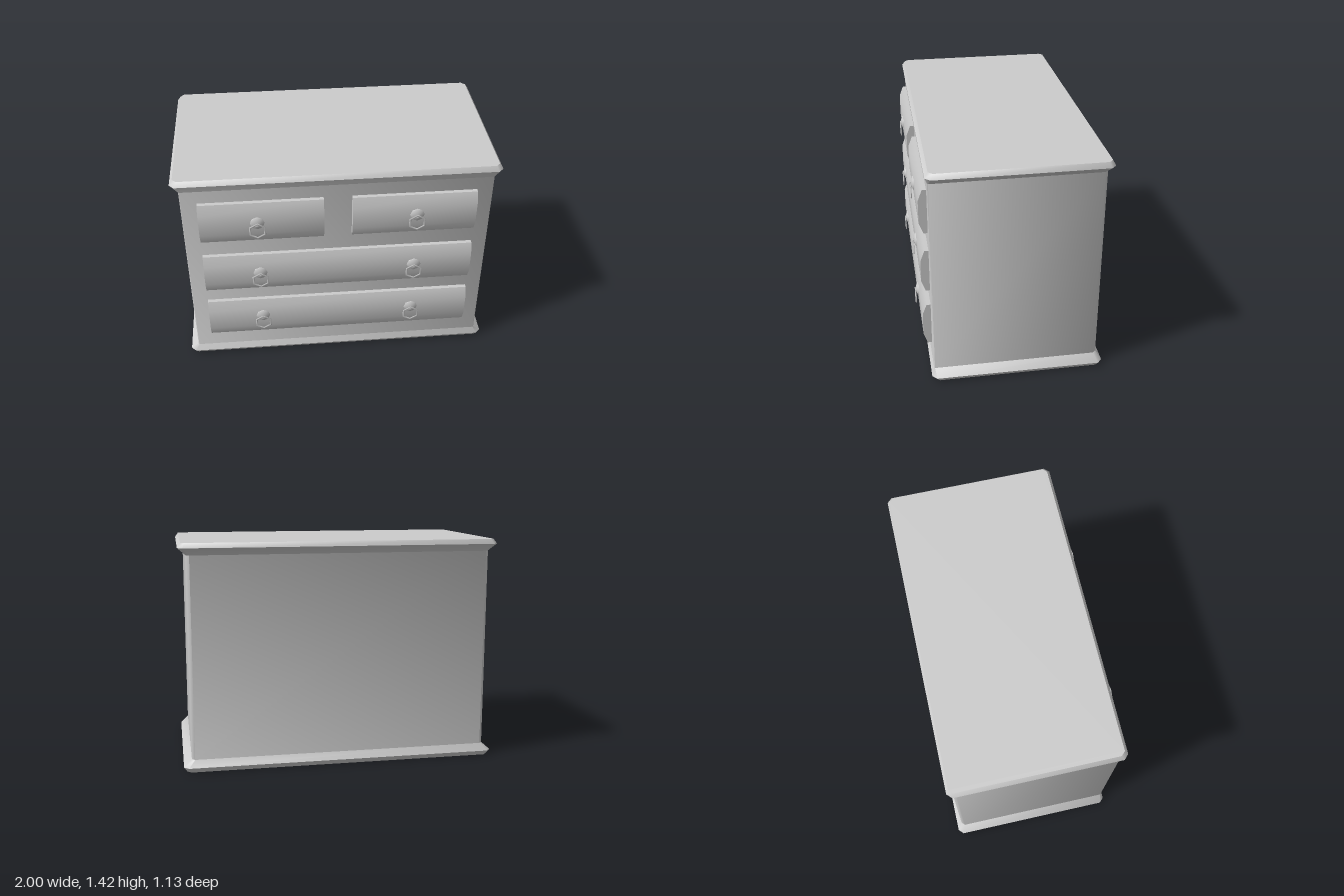
import * as THREE from 'three';
import { toCreasedNormals } from 'three/addons/utils/BufferGeometryUtils.js';

const mat = new THREE.MeshStandardMaterial({ color: 0xcccccc });

function mesh(name, geometry, x = 0, y = 0, z = 0) {
  const m = new THREE.Mesh(geometry, mat);
  m.name = name;
  m.position.set(x, y, z);
  return m;
}

// Rectangle with cut corners, counter-clockwise seen from above
function ring([y, x, front, back, cf, cb]) {
  return [
    [-x + cf, y, front], [x - cf, y, front], [x, y, front - cf], [x, y, back + cb],
    [x - cb, y, back], [-x + cb, y, back], [-x, y, back + cb], [-x, y, front - cf],
  ];
}

// Skin a stack of rings from bottom to top and cap both ends
function loft(sections) {
  const rings = sections.map(ring);
  const n = 8;
  const index = [];
  for (let r = 0; r < rings.length - 1; r++) {
    for (let i = 0; i < n; i++) {
      const a = r * n + i, b = r * n + (i + 1) % n;
      index.push(a, b, b + n, a, b + n, a + n);
    }
  }
  const top = (rings.length - 1) * n;
  for (let i = 1; i < n - 1; i++) {
    index.push(0, i + 1, i, top, top + i, top + i + 1);
  }
  const g = new THREE.BufferGeometry();
  g.setAttribute('position', new THREE.Float32BufferAttribute(rings.flat(2), 3));
  g.setIndex(index);
  return toCreasedNormals(g, 0.8);
}

// Drawer front: bevelled side profile pulled along x
function drawerFront(width, height) {
  const h = height / 2, s = new THREE.Shape();
  s.moveTo(0.03, -h);
  s.lineTo(-0.025, -h);
  s.lineTo(-0.05, -h + 0.067);
  s.lineTo(-0.05, h - 0.067);
  s.lineTo(-0.025, h);
  s.lineTo(0.03, h);
  s.closePath();
  const g = new THREE.ExtrudeGeometry(s, { depth: width, bevelEnabled: false });
  g.translate(0, 0, -width / 2);
  g.rotateY(Math.PI / 2);
  return toCreasedNormals(g, 0.6);
}

// Round plate, small knob and hanging six-sided ring
function handle(x, y) {
  const g = new THREE.Group();
  g.name = 'handle';
  g.position.set(x, y, 0.543);
  const profile = [[0.046, 0], [0.042, 0.008], [0.024, 0.014], [0.012, 0.017], [0, 0.018]]
    .map(([r, h]) => new THREE.Vector2(r, h));
  const plate = new THREE.LatheGeometry(profile, 8);
  plate.rotateX(Math.PI / 2);
  g.add(mesh('handlePlate', plate));

  const knob = new THREE.SphereGeometry(0.015, 8, 6);
  knob.scale(1.3, 1, 0.6);
  g.add(mesh('handleKnob', knob, 0, -0.01, 0.014));

  const loop = new THREE.TorusGeometry(0.052, 0.007, 6, 6);
  loop.rotateZ(Math.PI / 2);
  loop.scale(1, 1, 0.5);
  g.add(mesh('handleRing', loop, 0, -0.048, 0.02));
  return g;
}

export function createModel() {
  const model = new THREE.Group();
  model.name = 'chestOfDrawers';

  // Carcass with flared base and top mouldings: y, half width, front, back, corner cuts
  model.add(mesh('carcass', loft([
    [0.00, 0.98, 0.49, -0.55, 0.025, 0.025],
    [0.03, 1.00, 0.51, -0.565, 0.03, 0.03],
    [0.075, 0.95, 0.495, -0.533, 0.005, 0.02],
    [1.345, 0.95, 0.495, -0.533, 0.005, 0.02],
    [1.39, 1.00, 0.51, -0.565, 0.03, 0.03],
    [1.42, 0.98, 0.49, -0.55, 0.025, 0.025],
  ])));

  // Drawers: centre x, centre y, width, height
  const drawers = [
    [-0.47, 1.12, 0.76, 0.28],
    [0.467, 1.12, 0.766, 0.28],
    [0, 0.7225, 1.70, 0.275],
    [0, 0.34, 1.70, 0.28],
  ];
  for (const [x, y, w, h] of drawers) {
    model.add(mesh('drawer', drawerFront(w, h), x, y, 0.495));
  }

  // A pair of handles on each row
  for (const y of [1.127, 0.73, 0.36]) {
    for (const x of [-0.497, 0.481]) model.add(handle(x, y));
  }
  return model;
}
